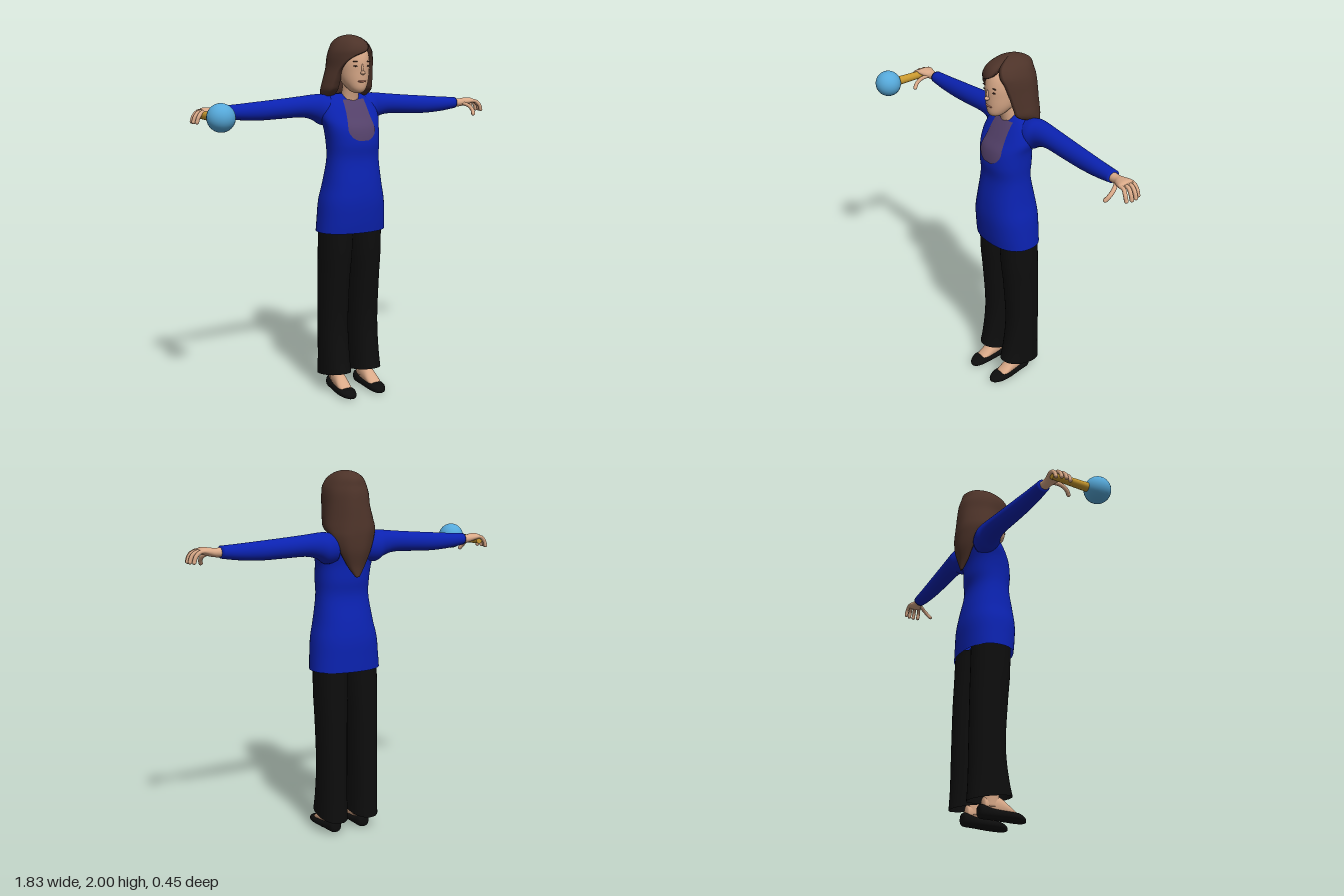
import * as THREE from 'three';

const mat = (name, color, side = THREE.FrontSide) => {
  const m = new THREE.MeshStandardMaterial({ color, side });
  m.name = name;
  return m;
};
const D = THREE.DoubleSide;
const M = {
  skin: mat('skin', 0xd9a988), hair: mat('brown hair', 0x4d3329), tunic: mat('blue tunic', 0x0b22b0, D),
  panel: mat('plum panel', 0x54416a, D), black: mat('black cloth', 0x0d0d0d, D), gold: mat('gold handle', 0xc8982f),
  ball: mat('light blue ball', 0x56a9da), lips: mat('lips', 0xb87762), eyes: mat('dark eyes', 0x3a2620),
};

// Smooth interpolation through rows of numbers
function spline(rows, steps = 5) {
  const out = [], last = rows.length - 1;
  for (let i = 0; i < last; i++) {
    const p0 = rows[Math.max(i - 1, 0)], p1 = rows[i], p2 = rows[i + 1], p3 = rows[Math.min(i + 2, last)];
    for (let s = 0; s < steps; s++) {
      const t = s / steps;
      out.push(p1.map((b, k) => 0.5 * (2 * b + (p2[k] - p0[k]) * t +
        (2 * p0[k] - 5 * b + 4 * p2[k] - p3[k]) * t * t + (3 * b - p0[k] - 3 * p2[k] + p3[k]) * t ** 3)));
    }
  }
  out.push(rows[last]);
  return out;
}

// Skin a list of rings of [x, y, z] points
function skinRings(rings, { closed = true, caps = true } = {}) {
  const n = rings[0].length, pos = rings.flat(2), idx = [];
  for (let i = 0; i < rings.length - 1; i++)
    for (let j = 0; j < (closed ? n : n - 1); j++) {
      const k = (j + 1) % n, a = i * n + j, b = i * n + k;
      idx.push(a, a + n, b, b, a + n, b + n);
    }
  if (caps) [0, rings.length - 1].forEach((r, end) => {
    const c = pos.length / 3;
    pos.push(...[0, 1, 2].map(q => rings[r].reduce((s, p) => s + p[q], 0) / n));
    for (let j = 0; j < n; j++) {
      const a = r * n + j, b = r * n + (j + 1) % n;
      end ? idx.push(c, b, a) : idx.push(c, a, b);
    }
  });
  const g = new THREE.BufferGeometry();
  g.setAttribute('position', new THREE.Float32BufferAttribute(pos, 3));
  g.setIndex(idx);
  g.computeVertexNormals();
  return g;
}

// Loft of rows [t, a, b, ra, rb] along an axis: y -> (x, z), x -> (z, y), z -> (y, x)
const place = {
  y: (t, a, b) => [a, t, b], x: (t, a, b) => [t, b, a], z: (t, a, b) => [b, a, t],
};
function loft(axis, rows, { p = 2, n = 32, caps = true, steps = 5, warp = v => v } = {}) {
  const pw = v => Math.sign(v) * Math.abs(v) ** (2 / p);
  return skinRings(spline(rows, steps).map(([t, a, b, ra, rb]) => Array.from({ length: n }, (_, j) => {
    const q = j / n * Math.PI * 2;
    return warp(place[axis](t, a + ra * pw(Math.cos(q)), b + rb * pw(Math.sin(q))));
  })), { caps });
}

function mirrored(geo) {
  const g = geo.clone().scale(-1, 1, 1), ix = g.index;
  for (let i = 0; i < ix.count; i += 3) {
    const b = ix.getX(i + 1);
    ix.setX(i + 1, ix.getX(i + 2));
    ix.setX(i + 2, b);
  }
  return g;
}

const TORSO = [
  [0.93, 0, -0.05, 0.2, 0.14], [1.0, 0, -0.045, 0.195, 0.145], [1.1, 0, -0.04, 0.186, 0.148],
  [1.2, 0.002, -0.035, 0.165, 0.137], [1.33, 0.004, -0.03, 0.148, 0.114], [1.42, 0.004, -0.03, 0.15, 0.12],
  [1.5, 0, -0.037, 0.158, 0.113], [1.56, 0, -0.058, 0.172, 0.098], [1.62, 0, -0.08, 0.16, 0.083],
  [1.66, 0, -0.088, 0.125, 0.062], [1.685, 0, -0.085, 0.07, 0.04],
];
const TP = 2.3;

// Front surface of the tunic at x, y
const torsoDense = spline(TORSO, 12);
function chestZ(x, y) {
  const i = Math.max(1, torsoDense.findIndex(r => r[0] >= y));
  const a = torsoDense[i - 1], b = torsoDense[i], t = (y - a[0]) / (b[0] - a[0]);
  const [, cx, cz, rx, rz] = a.map((v, k) => v + (b[k] - v) * t);
  return cz + rz * Math.max(0, 1 - Math.abs((x - cx) / rx) ** TP) ** (1 / TP);
}

// Hair rows: y, x, z, rx, rz, then the angles between which the face is left open
const HAIR = [
  [1.445, 0, -0.19, 0.012, 0.01, 0, 180], [1.5, 0, -0.175, 0.05, 0.03, 0, 180], [1.58, 0, -0.16, 0.09, 0.062, 0, 180],
  [1.655, -0.003, -0.128, 0.122, 0.098, 15, 165], [1.7, -0.007, -0.088, 0.139, 0.137, 30, 150],
  [1.75, -0.005, -0.075, 0.134, 0.145, 33, 147], [1.82, 0, -0.065, 0.123, 0.148, 37, 142],
  [1.88, 0, -0.057, 0.118, 0.148, 43, 118], [1.92, 0, -0.05, 0.108, 0.143, 50, 74],
  [1.96, 0, -0.055, 0.085, 0.125, 56, 57], [1.988, 0, -0.06, 0.052, 0.075, 56, 57], [2.0, 0, -0.06, 0.015, 0.02, 56, 57],
];
function hairGeometry() {
  const n = 40, rad = Math.PI / 180;
  return skinRings(spline(HAIR, 5).map(([y, cx, cz, rx, rz, a, b]) => {
    const arc = s => Array.from({ length: n }, (_, j) => {
      const q = (b + (a + 360 - b) * j / (n - 1)) * rad;
      const k = s * (1 + 0.012 * Math.sin(7 * q + y * 9));
      return [cx + rx * k * Math.cos(q), y, cz + rz * k * Math.sin(q)];
    });
    return [...arc(1), ...arc(0.62).reverse()];
  }));
}

export function createModel() {
  const root = new THREE.Group();
  root.name = 'woman';
  const add = (name, geo, m, parent = root) => {
    const mesh = new THREE.Mesh(geo, m);
    mesh.name = name;
    parent.add(mesh);
    return mesh;
  };
  const group = name => {
    const g = new THREE.Group();
    g.name = name;
    root.add(g);
    return g;
  };
  const ellipsoid = (x, y, z, rx, ry, rz) => new THREE.SphereGeometry(1, 20, 14).scale(rx, ry, rz).translate(x, y, z);

  // Tunic with an open hem, and the chest panel lying on it
  add('tunic', loft('y', TORSO, { p: TP, n: 48, caps: false }), M.tunic);
  const panelRows = spline([[1.437, 0.03], [1.455, 0.062], [1.49, 0.083], [1.53, 0.079], [1.58, 0.071], [1.655, 0.066]], 5);
  add('chestPanel', skinRings(panelRows.map(([y, w]) => Array.from({ length: 17 }, (_, j) => {
    const x = 0.004 + w * (1 - j / 8);
    return [x, y, chestZ(x, y) + 0.005];
  })), { closed: false, caps: false }), M.panel);

  // Head and neck
  const head = group('head');
  add('neck', loft('y', [[1.58, 0, -0.065, 0.06, 0.048], [1.65, 0, -0.058, 0.05, 0.046], [1.74, 0, -0.035, 0.046, 0.046]]), M.skin, head);
  add('face', loft('y', [
    [1.692, 0, 0.035, 0.018, 0.02], [1.7, 0, 0.03, 0.034, 0.038], [1.72, 0, 0.018, 0.052, 0.06], [1.755, 0, -0.004, 0.071, 0.086],
    [1.8, 0, -0.02, 0.082, 0.104], [1.86, 0, -0.03, 0.088, 0.114], [1.92, 0, -0.04, 0.08, 0.105], [1.96, 0, -0.05, 0.05, 0.07],
  ]), M.skin, head);
  add('nose', ellipsoid(0, 1.8, 0.085, 0.012, 0.011, 0.019), M.skin, head);
  add('noseBridge', ellipsoid(0, 1.822, 0.082, 0.008, 0.026, 0.011), M.skin, head);
  add('lips', ellipsoid(0, 1.755, 0.078, 0.026, 0.006, 0.008), M.lips, head);
  for (const s of [-1, 1]) {
    const side = s > 0 ? 'left' : 'right';
    add(side + 'Eye', ellipsoid(s * 0.035, 1.836, 0.073, 0.015, 0.004, 0.006), M.eyes, head);
    add(side + 'Brow', ellipsoid(s * 0.037, 1.86, 0.074, 0.018, 0.003, 0.005), M.hair, head);
  }
  add('hair', hairGeometry(), M.hair, head);

  // Limbs, shaped for the left side and mirrored
  const sleeve = loft('x', [
    [0.09, -0.1, 1.595, 0.07, 0.075], [0.15, -0.108, 1.598, 0.078, 0.084], [0.2, -0.114, 1.612, 0.064, 0.069],
    [0.27, -0.115, 1.617, 0.056, 0.057], [0.4, -0.113, 1.61, 0.051, 0.053], [0.52, -0.111, 1.604, 0.046, 0.05],
    [0.64, -0.108, 1.603, 0.041, 0.042], [0.74, -0.106, 1.607, 0.036, 0.032],
  ]);
  const palm = loft('x', [
    [0.72, -0.105, 1.606, 0.027, 0.025], [0.77, -0.102, 1.606, 0.026, 0.023], [0.8, -0.096, 1.611, 0.036, 0.022],
    [0.835, -0.092, 1.617, 0.047, 0.018], [0.855, -0.09, 1.615, 0.044, 0.012],
  ]);
  const fingers = [];
  const finger = (pts, r) => {
    const curve = new THREE.CatmullRomCurve3(pts.map(p => new THREE.Vector3(...p)));
    fingers.push(new THREE.TubeGeometry(curve, 12, r, 10), ellipsoid(...pts.at(-1), r, r, r));
  };
  [-0.128, -0.104, -0.079, -0.054].forEach((z, i) => {
    const e = [-0.012, 0, 0.002, -0.006][i], w = z * 1.12 + 0.015;
    finger([[0.835, 1.617, z], [0.868 + e, 1.613, z], [0.89 + e, 1.592, w], [0.9 + e, 1.565, w]], 0.0105);
  });
  finger([[0.785, 1.606, -0.085], [0.808, 1.588, -0.045], [0.812, 1.565, -0.015], [0.804, 1.545, 0.002]], 0.011);

  // Trouser leg, its hem rising toward the front
  const leg = loft('y', [
    [0.08, 0.097, -0.065, 0.082, 0.125], [0.2, 0.097, -0.072, 0.08, 0.111], [0.4, 0.097, -0.08, 0.079, 0.1],
    [0.65, 0.096, -0.07, 0.082, 0.106], [0.8, 0.093, -0.06, 0.088, 0.11], [0.97, 0.09, -0.055, 0.09, 0.11],
  ], {
    p: 2.2, caps: false,
    warp: ([x, y, z]) => [x, y + 0.045 * Math.max(0, 1 - (y - 0.08) / 0.2) * THREE.MathUtils.clamp((z + 0.19) / 0.25, 0, 1), z],
  });
  const shoe = loft('z', [
    [-0.126, 0.038, 0.09, 0.02, 0.018], [-0.112, 0.036, 0.09, 0.035, 0.034], [-0.05, 0.028, 0.092, 0.028, 0.039],
    [0.03, 0.025, 0.096, 0.025, 0.047], [0.09, 0.024, 0.096, 0.024, 0.047], [0.13, 0.017, 0.094, 0.016, 0.03],
    [0.145, 0.014, 0.093, 0.008, 0.012],
  ], { p: 2.4, warp: ([x, y, z]) => [x, Math.max(0, y), z] });
  const foot = loft('z', [
    [-0.1, 0.07, 0.09, 0.04, 0.022], [-0.05, 0.075, 0.092, 0.055, 0.032], [0, 0.065, 0.094, 0.05, 0.036],
    [0.045, 0.05, 0.096, 0.028, 0.038], [0.08, 0.038, 0.096, 0.014, 0.032],
  ]);
  const ankle = loft('y', [[0.06, 0.092, -0.05, 0.032, 0.045], [0.14, 0.094, -0.055, 0.034, 0.042], [0.26, 0.096, -0.065, 0.04, 0.045]]);

  for (const [side, fix] of [['left', g => g], ['right', mirrored]]) {
    const arm = group(side + 'Arm'), lower = group(side + 'Leg');
    add('sleeve', fix(sleeve), M.tunic, arm);
    add('palm', fix(palm), M.skin, arm);
    fingers.forEach((f, i) => add(i % 2 ? 'fingertip' : 'finger', fix(f), M.skin, arm));
    add('trouserLeg', fix(leg), M.black, lower);
    add('ankle', fix(ankle), M.skin, lower);
    add('foot', fix(foot), M.skin, lower);
    add('shoe', fix(shoe), M.black, lower);
  }

  // Ball on a handle, held in the right hand
  const toy = group('ballOnHandle');
  add('handle', new THREE.CylinderGeometry(0.025, 0.02, 0.24, 20).rotateX(Math.PI / 2).translate(-0.847, 1.597, -0.005), M.gold, toy);
  add('ball', new THREE.SphereGeometry(0.072, 32, 20).translate(-0.847, 1.6, 0.155), M.ball, toy);
  return root;
}
